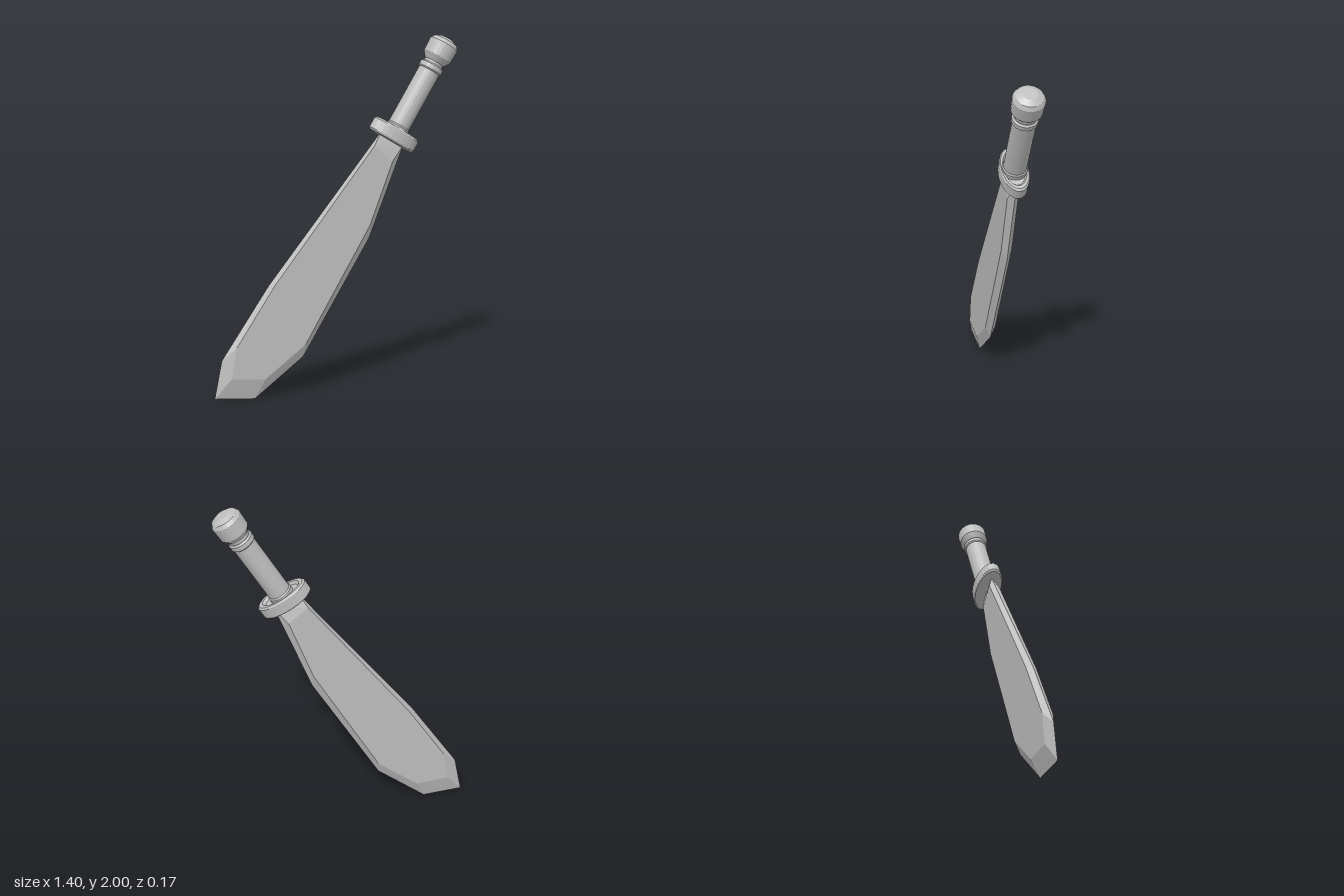
import * as THREE from 'three';

const steel = new THREE.MeshStandardMaterial({ color: 0xbebebe, flatShading: true });
steel.name = 'grey steel';

// Turned part around the handle axis; profile is [radius, height] from bottom to top
function turned(name, profile, sides = 24) {
  const points = profile.map(([r, y]) => new THREE.Vector2(r, y));
  const mesh = new THREE.Mesh(new THREE.LatheGeometry(points, sides), steel);
  mesh.name = name;
  return mesh;
}

// Blade: a sharp outline at z = 0 bevelled up to a flat face on each side
function makeBlade() {
  const edge = [
    [0.25, 1.47], [-0.4, 0.637], [-0.668, 0.233], [-0.71, 0.02],
    [-0.483, 0.003], [-0.203, 0.223], [0.182, 0.875], [0.38, 1.388],
  ];
  const face = [
    [0.203, 1.395], [-0.372, 0.642], [-0.589, 0.308], [-0.62, 0.133],
    [-0.43, 0.117], [-0.198, 0.297], [0.177, 0.95], [0.309, 1.305],
  ];
  const n = edge.length;
  const half = 0.03;
  const positions = [];
  const triangle = (a, b, c, side) => {
    const corners = side > 0 ? [a, b, c] : [a, c, b];
    for (const [x, y, z] of corners) positions.push(x, y, z * side);
  };
  const outer = edge.map(([x, y]) => [x, y, 0]);
  const inner = face.map(([x, y]) => [x, y, half]);
  for (const side of [1, -1]) {
    for (let i = 0; i < n; i++) {
      const j = (i + 1) % n;
      triangle(outer[i], outer[j], inner[j], side);
      triangle(outer[i], inner[j], inner[i], side);
      if (i > 0 && i < n - 1) triangle(inner[0], inner[i], inner[j], side);
    }
  }
  const geometry = new THREE.BufferGeometry();
  geometry.setAttribute('position', new THREE.Float32BufferAttribute(positions, 3));
  geometry.computeVertexNormals();
  const mesh = new THREE.Mesh(geometry, steel);
  mesh.name = 'blade';
  return mesh;
}

export function createModel() {
  const model = new THREE.Group();
  model.name = 'machete';
  model.add(makeBlade());

  // Hilt, built upright around the guard centre and then tilted
  const hilt = new THREE.Group();
  hilt.name = 'hilt';
  hilt.position.set(0.325, 1.45, 0);
  hilt.rotation.z = -0.533;

  // Oval guard with bevelled rim and a shallow dished top
  const guard = turned('guard', [
    [0, -0.04], [0.136, -0.04], [0.147, -0.03], [0.147, 0.03],
    [0.136, 0.04], [0.115, 0.04], [0.1, 0.025], [0, 0.025],
  ], 28);
  guard.scale.z = 0.52;
  hilt.add(guard);

  // Grip with a low collar at each end
  hilt.add(turned('grip', [
    [0.068, 0.02], [0.068, 0.05], [0.062, 0.058], [0.062, 0.405],
    [0.069, 0.412], [0.069, 0.438], [0.06, 0.446], [0, 0.446],
  ]));

  // Pommel with a narrow neck and a domed cap
  hilt.add(turned('pommel', [
    [0.056, 0.44], [0.056, 0.46], [0.082, 0.493], [0.085, 0.573],
    [0.072, 0.594], [0.04, 0.61], [0, 0.61],
  ]));

  model.add(hilt);
  return model;
}
